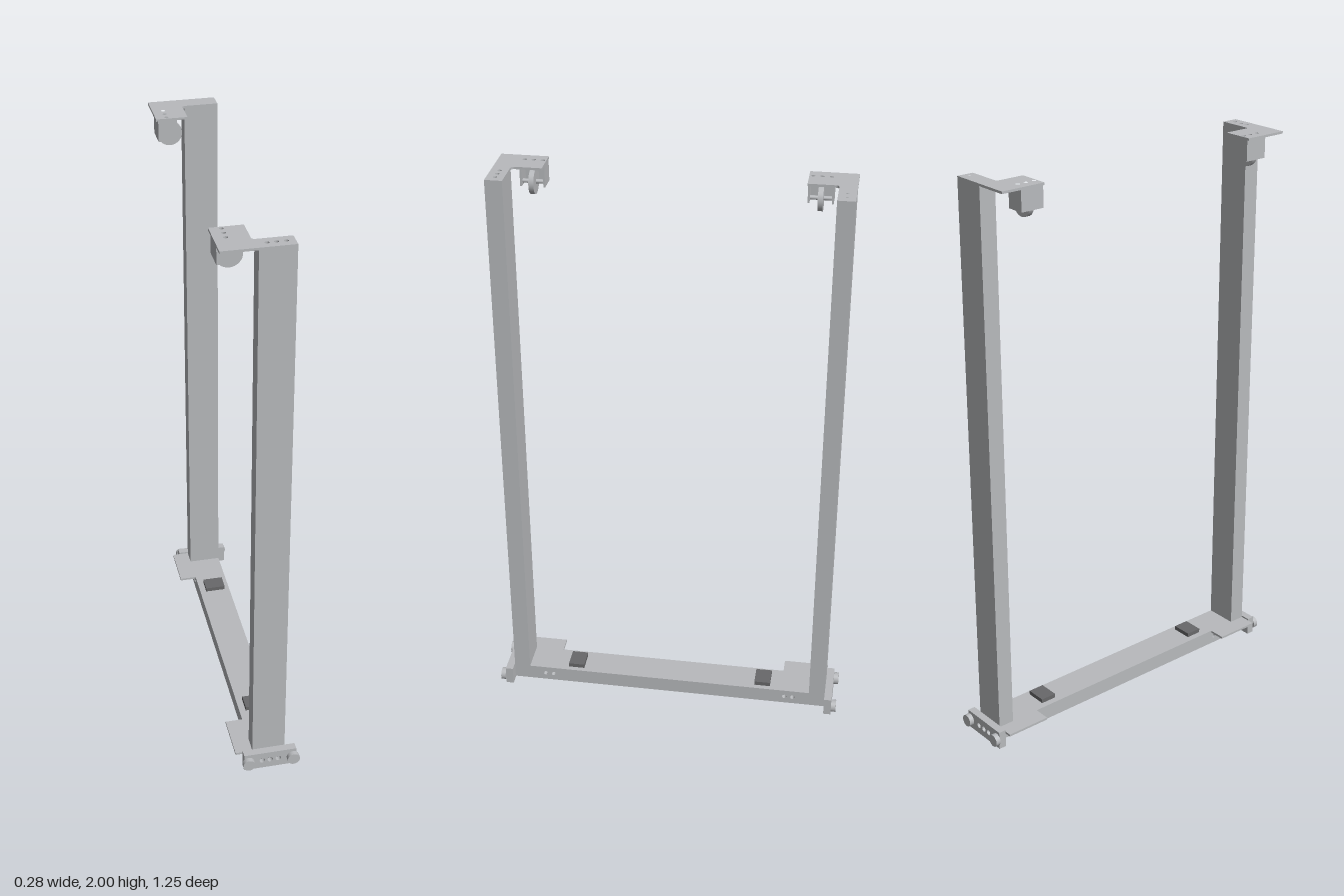
import * as THREE from 'three';

export function createModel() {
  const model = new THREE.Group();
  const steel = new THREE.MeshStandardMaterial({ color: 0xb8babd });
  steel.name = 'grey steel';
  const rubber = new THREE.MeshStandardMaterial({ color: 0x68686a });
  rubber.name = 'dark rubber';

  const add = (name, geometry, material = steel) => {
    const mesh = new THREE.Mesh(geometry, material);
    mesh.name = name;
    model.add(mesh);
    return mesh;
  };

  // Box given by its two extreme corners
  const box = (name, x0, x1, y0, y1, z0, z1, material) =>
    add(name, new THREE.BoxGeometry(x1 - x0, y1 - y0, Math.abs(z1 - z0)), material)
      .position.set((x0 + x1) / 2, (y0 + y1) / 2, (z0 + z1) / 2);

  // Disc or wheel with its axis along z
  const disc = (name, r, x, y, z0, z1, material) =>
    add(name, new THREE.CylinderGeometry(r, r, Math.abs(z1 - z0), 32).rotateX(Math.PI / 2), material)
      .position.set(x, y, (z0 + z1) / 2);

  const drill = (shape, x, y, r) => {
    const hole = new THREE.Path();
    hole.absarc(x, y, r, 0, Math.PI * 2, true);
    shape.holes.push(hole);
  };

  const extrude = (shape, depth) =>
    new THREE.ExtrudeGeometry(shape, { depth, bevelEnabled: false, curveSegments: 10 });

  const rect = (x0, x1, y0, y1) => new THREE.Shape([
    new THREE.Vector2(x0, y0), new THREE.Vector2(x1, y0),
    new THREE.Vector2(x1, y1), new THREE.Vector2(x0, y1),
  ]);

  // Bottom beam, drilled across near both ends
  const side = rect(-0.585, 0.585, 0.005, 0.06);
  for (const z of [-0.465, -0.435, 0.435, 0.465]) drill(side, z, 0.033, 0.008);
  add('bottomBeam', extrude(side, 0.115).rotateY(Math.PI / 2)).position.x = -0.025;

  for (const s of [1, -1]) {
    const end = s > 0 ? 'front' : 'back';

    // Upright post
    box(end + 'Post', -0.025, 0.09, 0.06, 1.992, s * 0.525, s * 0.583);

    // L-shaped top plate with a rounded inner corner
    const plate = new THREE.Shape();
    plate.moveTo(-0.14, -s * 0.583);
    plate.lineTo(0.09, -s * 0.583);
    plate.lineTo(0.09, -s * 0.525);
    plate.lineTo(-0.021, -s * 0.525);
    plate.quadraticCurveTo(-0.033, -s * 0.525, -0.033, -s * 0.513);
    plate.lineTo(-0.033, -s * 0.425);
    plate.lineTo(-0.14, -s * 0.425);
    plate.closePath();
    for (const x of [0.005, 0.033, 0.062]) drill(plate, x, -s * 0.554, 0.007);
    for (const z of [0.437, 0.467, 0.497]) drill(plate, -0.103, -s * z, 0.007);
    add(end + 'TopPlate', extrude(plate, 0.008).rotateX(-Math.PI / 2)).position.y = 1.992;

    // Channel bracket, open towards +x and below
    box(end + 'BracketWeb', -0.133, -0.127, 1.92, 1.992, s * 0.425, s * 0.508);
    box(end + 'BracketInnerWall', -0.127, -0.07, 1.92, 1.992, s * 0.425, s * 0.431);
    box(end + 'BracketOuterWall', -0.127, -0.07, 1.92, 1.992, s * 0.502, s * 0.508);

    // Roller and its axle
    disc(end + 'Roller', 0.042, -0.088, 1.933, s * 0.458, s * 0.475);
    disc(end + 'RollerAxle', 0.007, -0.088, 1.933, s * 0.431, s * 0.502);

    // Side plate flush with the beam top
    box(end + 'LowerPlate', -0.085, -0.025, 0.052, 0.06, s * 0.421, s * 0.583);

    // End plate with bolt holes and two round bumpers
    const cap = rect(-0.06, 0.126, 0, 0.066);
    for (const x of [0.005, 0.033, 0.062]) {
      drill(cap, x, 0.033, 0.01);
      disc(end + 'Bolt', 0.01, x, 0.033, s * 0.585, s * 0.592, rubber);
    }
    add(end + 'EndPlate', extrude(cap, 0.027)).position.z = s > 0 ? 0.583 : -0.61;
    for (const x of [-0.045, 0.114]) disc(end + 'Bumper', 0.022, x, 0.033, s * 0.61, s * 0.627);

    // Rubber pad on the beam
    box(end + 'Pad', -0.002, 0.072, 0.06, 0.075, s * 0.321, s * 0.379, rubber);
  }

  return model;
}
